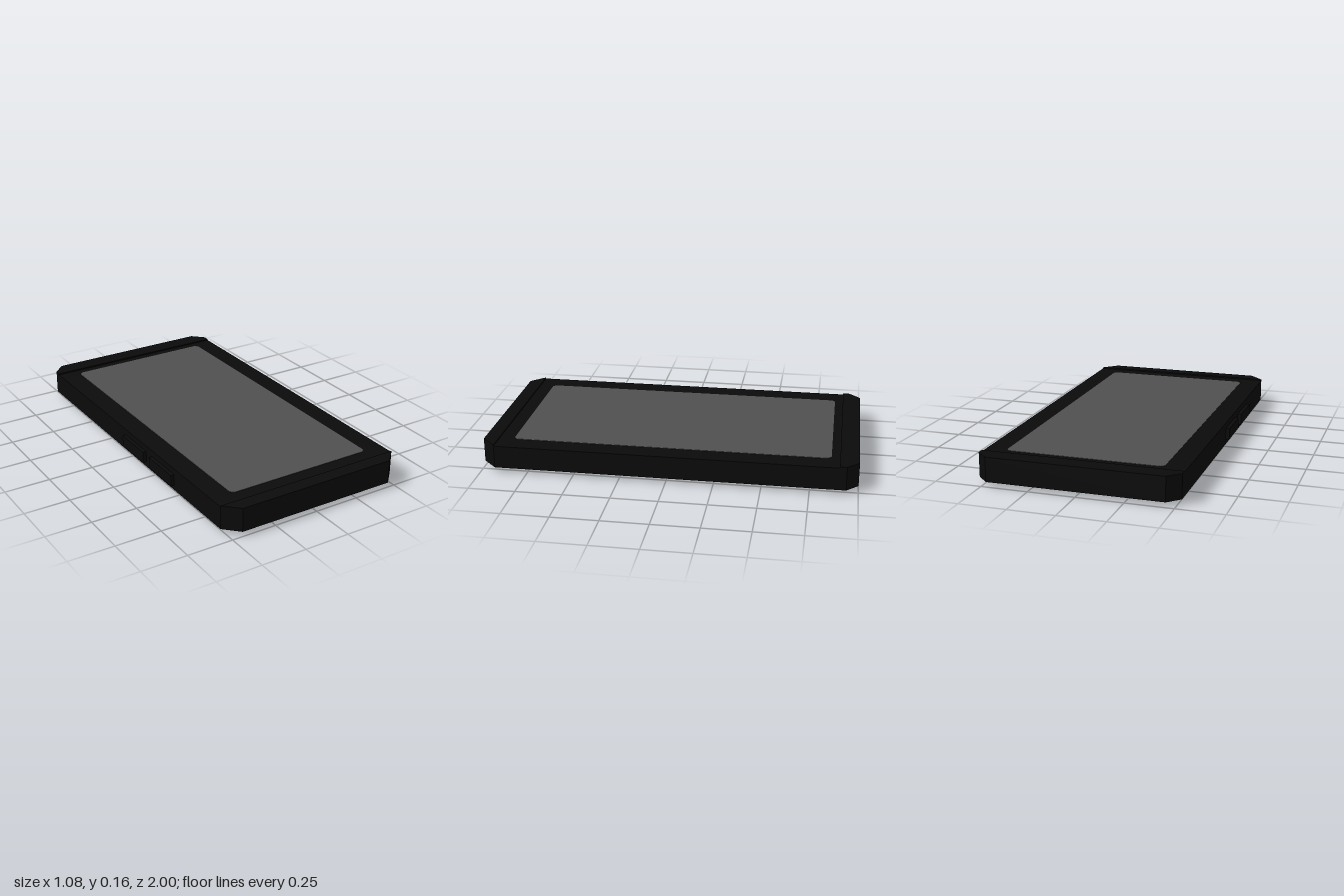
import * as THREE from 'three';

const material = (color) => new THREE.MeshStandardMaterial({ color, flatShading: true });
const dark = material(0x0b0b0b);
const black = material(0x050505);
const glass = material(0x505050);
const metal = material(0x808080);

// Rectangle with cut corners: cutF at +z, cutB at -z (shape y becomes -z)
function cutRect(x0, x1, z0, z1, cutF, cutB = cutF) {
  return new THREE.Shape([
    [x0 + cutF, -z1], [x1 - cutF, -z1], [x1, -z1 + cutF], [x1, -z0 - cutB],
    [x1 - cutB, -z0], [x0 + cutB, -z0], [x0, -z0 - cutB], [x0, -z1 + cutF],
  ].map(([x, y]) => new THREE.Vector2(x, y)));
}

// Flat slab between two heights
function slab(name, shape, y0, y1, mat) {
  const geo = new THREE.ExtrudeGeometry(shape, { depth: y1 - y0, bevelEnabled: false });
  geo.rotateX(-Math.PI / 2).translate(0, y0, 0);
  const mesh = new THREE.Mesh(geo, mat);
  mesh.name = name;
  return mesh;
}

export function createModel() {
  const model = new THREE.Group();
  model.name = 'phone';

  // Case with cut corners
  model.add(slab('caseBody', cutRect(-0.52, 0.535, -1, 1, 0.077, 0.063), 0.027, 0.15, dark));

  // Slightly raised lips across both ends
  const lip = (name, pts) => model.add(slab(name,
    new THREE.Shape(pts.map(([x, z]) => new THREE.Vector2(x, -z))), 0.15, 0.157, dark));
  lip('frontLip', [[-0.443, 1], [0.458, 1], [0.535, 0.923], [-0.52, 0.923]]);
  lip('backLip', [[-0.52, -0.9], [0.535, -0.9], [0.535, -0.937], [0.472, -1], [-0.457, -1], [-0.52, -0.937]]);

  // Screen
  model.add(slab('screen', cutRect(-0.407, 0.425, -0.855, 0.843, 0.018), 0.145, 0.152, glass));

  // Side buttons
  for (const z of [0.073, 0.367]) {
    const button = new THREE.Mesh(new THREE.BoxGeometry(0.04, 0.062, 0.23), dark);
    button.position.set(-0.52, 0.086, z);
    button.name = 'sideButton';
    model.add(button);
  }

  // Camera plate and two lenses underneath
  model.add(slab('cameraPlate', cutRect(-0.41, -0.272, 0.54, 0.813, 0.035), 0.013, 0.03, metal));
  for (const z of [0.632, 0.733]) {
    const lens = new THREE.Mesh(new THREE.CylinderGeometry(0.033, 0.033, 0.02, 20), black);
    lens.position.set(-0.339, 0.01, z);
    lens.name = 'cameraLens';
    model.add(lens);
  }
  return model;
}
